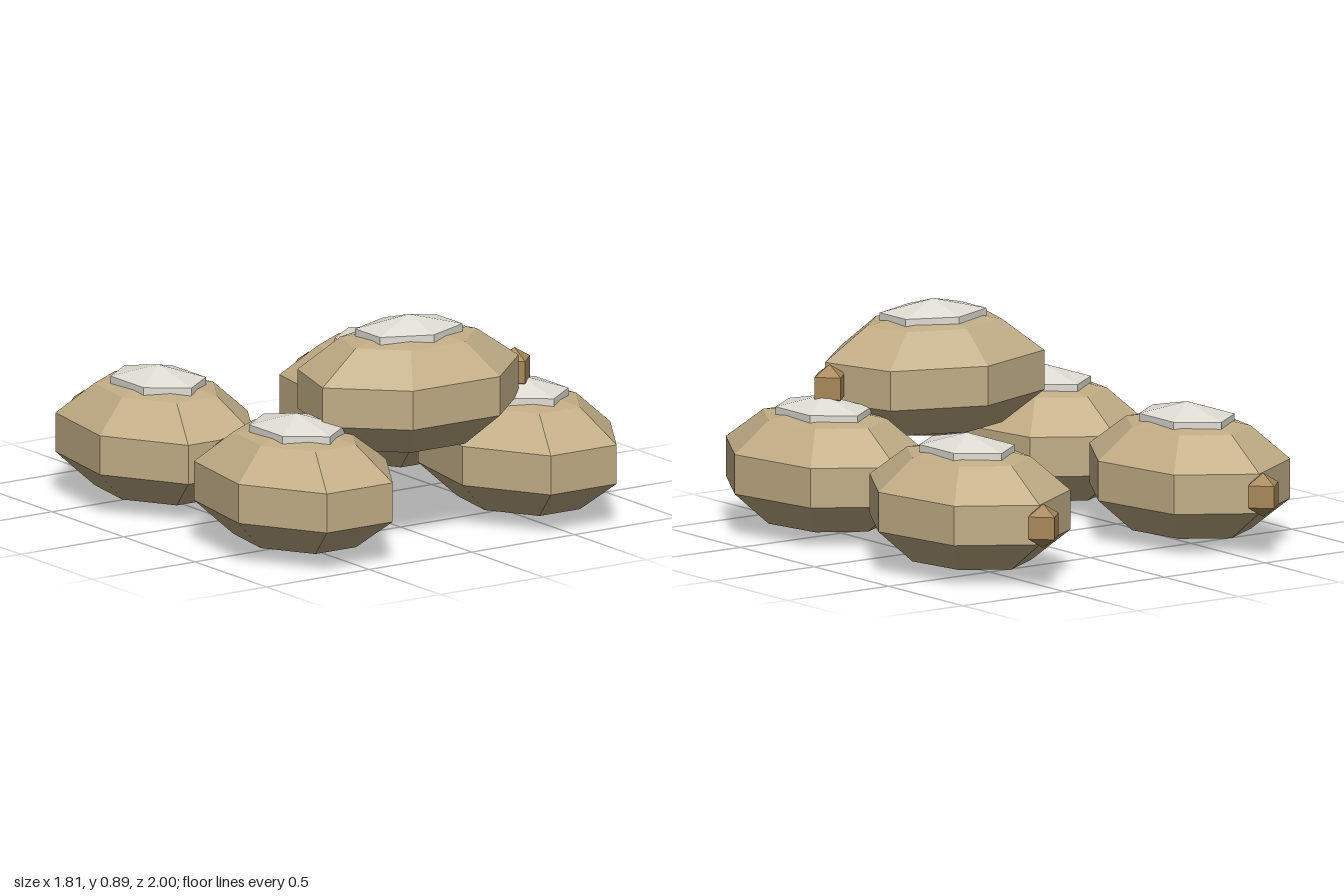
import * as THREE from 'three';

const mat = (color) => new THREE.MeshStandardMaterial({ color, flatShading: true });

export function createModel() {
  const model = new THREE.Group();
  const cloth = mat(0xc2ae87), lining = mat(0xe0ddd4), twine = mat(0xa8885a);

  // Faceted ellipsoid whose first corner points to -z
  const blob = (name, material, sides, rings, radii, position) => {
    const geometry = new THREE.SphereGeometry(1, sides, rings, Math.PI * 1.5);
    geometry.scale(...radii);
    const mesh = new THREE.Mesh(geometry, material);
    mesh.name = name;
    mesh.position.set(...position);
    return mesh;
  };

  // One sack: seven-sided body, pale top patch and a tied knot at one end
  const addSack = (name, x, y, z, rx, rz, knotX, knotZ) => {
    const sack = new THREE.Group();
    sack.name = name;
    sack.position.set(x, y, z);
    sack.add(
      blob('sackBody', cloth, 7, 5, [rx, 0.26, rz], [0, 0, 0]),
      blob('topPatch', lining, 6, 3, [rx * 0.521, 0.1, rz * 0.521], [0, 0.2, 0]),
      blob('knot', twine, 4, 3, [0.087, 0.09, 0.087], [knotX, 0, knotZ]),
    );
    model.add(sack);
  };

  const short = 0.388, long = 0.514;

  // Four sacks on the ground, knots to the back
  for (const [side, x] of [['left', 0.545], ['right', -0.545]]) {
    addSack(side + 'FrontSack', x, 0.26, 0.559, short, long, 0, -long);
    addSack(side + 'BackSack', x, 0.26, -0.411, short, long, 0, -long);
  }

  // One sack lying across the front pair, knot to its left
  addSack('topSack', 0, 0.59, 0.559, long, short, long, 0);

  return model;
}
